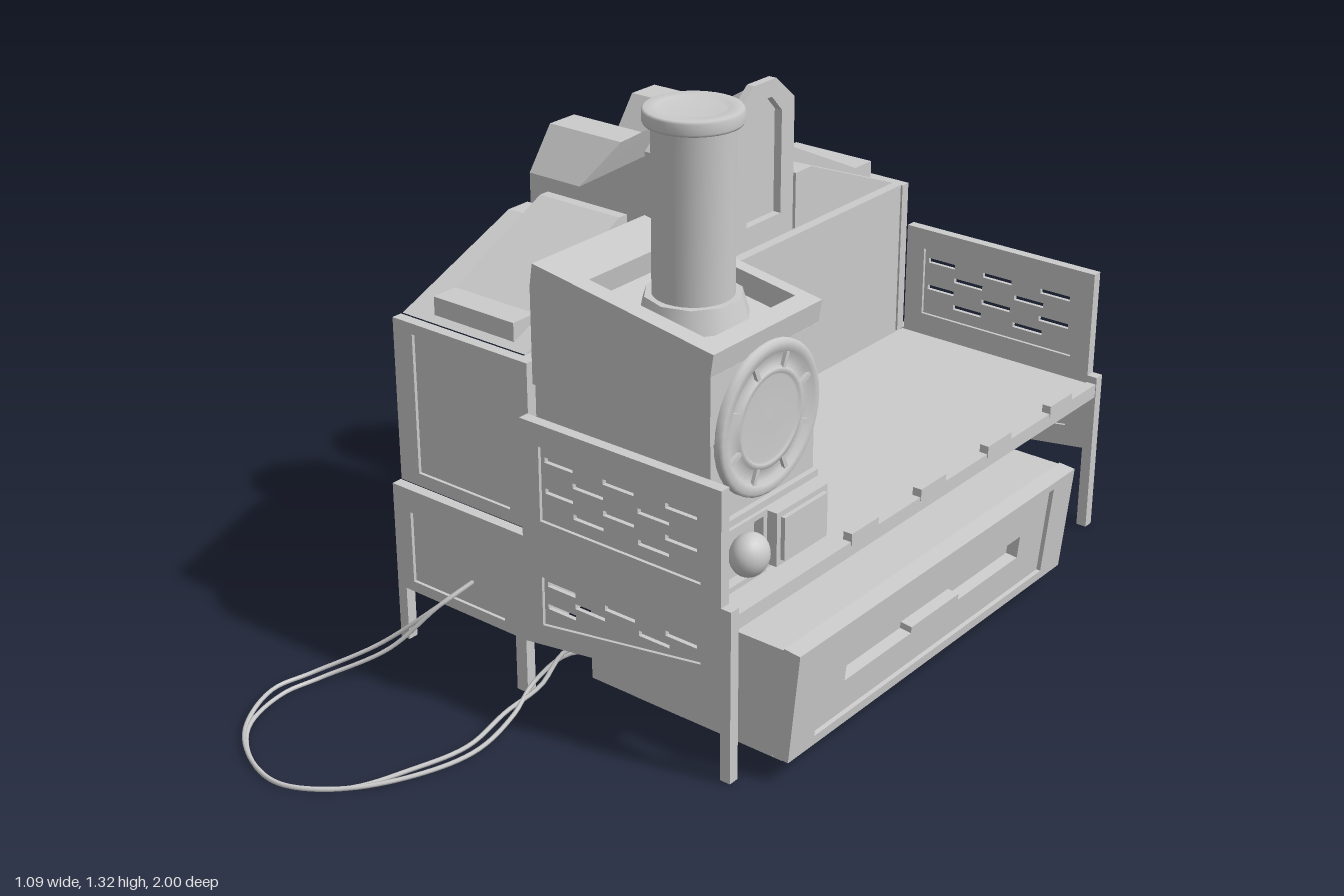
import * as THREE from 'three';

const mat = new THREE.MeshStandardMaterial({ color: 0xcccccc, side: THREE.DoubleSide });
const V = (a) => a.map(([x, y]) => new THREE.Vector2(x, y));
const rect = (x0, y0, x1, y1) => [[x0, y0], [x1, y0], [x1, y1], [x0, y1]];

function add(parent, name, geo, x = 0, y = 0, z = 0) {
  const m = new THREE.Mesh(geo, mat);
  m.name = name;
  m.position.set(x, y, z);
  parent.add(m);
  return m;
}

// Box from its minimum and maximum corners
function box(parent, name, [x0, y0, z0], [x1, y1, z1]) {
  return add(parent, name, new THREE.BoxGeometry(x1 - x0, y1 - y0, z1 - z0),
    (x0 + x1) / 2, (y0 + y1) / 2, (z0 + z1) / 2);
}

// Outline in x,y extruded along +z
function extrude(pts, depth, holes = []) {
  const s = new THREE.Shape(V(pts));
  holes.forEach((h) => s.holes.push(new THREE.Path(V(h))));
  return new THREE.ExtrudeGeometry(s, { depth, bevelEnabled: false });
}

// Outline in z,y extruded from x = 0 towards -x
const extrudeX = (pts, depth, holes) => extrude(pts, depth, holes).rotateY(-Math.PI / 2);

// Framed panel with a sunken, optionally slotted plate
function panel(parent, name, outline, inset, slots, z, depth) {
  add(parent, name + 'Frame', extrude(outline, depth, [inset]), 0, 0, z);
  const holes = slots.map(([x0, x1, y]) => rect(x0, y - 0.006, x1, y + 0.006));
  add(parent, name + 'Plate', extrude(inset, depth * 0.4, holes), 0, 0, z + depth * 0.3);
}

// End board: two narrow panels, two wide slotted panels and three legs
function endBoard(zOuter, zInner) {
  const g = new THREE.Group();
  g.name = 'endBoard';
  const odd = [[-0.055, 0.02], [0.1, 0.18], [0.26, 0.34]], even = [[0.02, 0.1], [0.19, 0.27]];
  const row = (r, y) => r.map(([a, b]) => [a, b, y]);
  panel(g, 'upperNarrow', rect(-0.495, 0.38, -0.115, 0.76), rect(-0.44, 0.41, -0.175, 0.735), [], zInner, 0.025);
  panel(g, 'lowerNarrow', rect(-0.495, 0.13, -0.115, 0.38), rect(-0.445, 0.155, -0.175, 0.325), [], zOuter, 0.025);
  panel(g, 'upperWide', rect(-0.115, 0.38, 0.405, 0.65), rect(-0.065, 0.43, 0.355, 0.6),
    [...row(odd, 0.57), ...row(even, 0.535), ...row(odd, 0.5), ...row(even, 0.465)], zOuter, 0.025);
  panel(g, 'lowerWide', [[-0.115, 0.13], [0.405, 0.205], [0.405, 0.38], [-0.115, 0.38]],
    [[-0.065, 0.185], [0.355, 0.25], [0.355, 0.3], [-0.065, 0.3]],
    [...row(odd, 0.283), ...row(even, 0.257), [-0.055, 0.02, 0.23]], zOuter, 0.025);
  for (const [x0, x1, top] of [[-0.495, -0.47, 0.13], [-0.145, -0.115, 0.13], [0.405, 0.43, 0.395]])
    box(g, 'leg', [x0, 0, zOuter], [x1, top, zOuter + 0.025]);
  return g;
}

// Hooded dormer: arched section whose roof rises towards +x
function dormer(zc) {
  const g = new THREE.Group();
  g.name = 'dormer';
  const ring = (xr, ridge, xs, shoulder, xb) => [[xb, 0.76, 0.11], [xs, shoulder, 0.11], [xr, ridge, 0.04],
    [xr, ridge, -0.04], [xs, shoulder, -0.11], [xb, 0.76, -0.11]].map(([x, y, z]) => [x, y, zc + z]);
  const R = [ring(-0.165, 1.13, -0.165, 1.07, -0.165), ring(-0.29, 1.055, -0.35, 0.96, -0.3),
    ring(-0.495, 1.055, -0.495, 0.96, -0.495)];
  const pos = [];
  for (let s = 0; s < 2; s++) for (let i = 0; i < 6; i++) {
    const j = (i + 1) % 6;
    pos.push(...R[s][i], ...R[s][j], ...R[s + 1][i], ...R[s][j], ...R[s + 1][j], ...R[s + 1][i]);
  }
  for (let i = 1; i < 5; i++) {
    pos.push(...R[2][0], ...R[2][i], ...R[2][i + 1]);
    pos.push(...R[0][0], ...R[0][i + 1], ...R[0][i]);
  }
  const geo = new THREE.BufferGeometry();
  geo.setAttribute('position', new THREE.Float32BufferAttribute(pos, 3));
  geo.computeVertexNormals();
  add(g, 'dormerBody', geo);
  const arch = (w, t, y0, y1, y2) => [[-w, y0], [w, y0], [w, y1], [t, y2], [-t, y2], [-w, y1]];
  add(g, 'dormerFace', extrudeX(arch(0.11, 0.04, 0.76, 1.08, 1.14), 0.02,
    [arch(0.063, 0.025, 0.815, 1.06, 1.1)]), -0.145, 0, zc);
  return g;
}

// Sloped lid with a raised pad; m mirrors z about the middle of the base
function slopedLid(m) {
  const g = new THREE.Group();
  g.name = 'slopedLid';
  const f = (a) => a.map(([z, y]) => [m ? -0.58 - z : z, y]);
  add(g, 'lidWedge', extrudeX(f([[-0.55, 0.76], [-0.55, 0.895], [-0.61, 0.895], [-0.945, 0.76]]), 0.35), -0.145);
  add(g, 'lidPad', extrudeX(f([[-0.565, 0.88], [-0.565, 0.94], [-0.59, 0.94], [-0.86, 0.81], [-0.925, 0.81],
    [-0.925, 0.762], [-0.88, 0.762]]), 0.225), -0.195);
  return g;
}

// Boiler cab with an open-topped well, chimney and round end plate
function cab() {
  const g = new THREE.Group();
  g.name = 'cab';
  box(g, 'cabBase', [-0.095, 0.375, 0.06], [0.355, 0.54, 0.39]);
  box(g, 'cabLower', [-0.092, 0.54, 0.06], [0.357, 0.72, 0.395]);
  add(g, 'cabUpper', extrude([[-0.095, 0.722], [0.36, 0.722], [0.36, 0.865], [-0.095, 0.935]], 0.345), 0, 0, 0.055);
  const rim = add(g, 'cabRim', extrude(rect(0, -0.4, 0.46, -0.055), 0.05, [rect(0.115, -0.36, 0.415, -0.085)])
    .rotateX(-Math.PI / 2), -0.095, 0.935, 0);
  rim.rotation.z = -Math.atan2(0.07, 0.455);
  add(g, 'chimneyFlange', new THREE.CylinderGeometry(0.1, 0.115, 0.05, 10).toNonIndexed(), 0.175, 0.91, 0.22);
  const pipe = [[0.083, 0.85], [0.083, 1.28], [0.098, 1.285], [0.1, 1.29], [0.1, 1.31], [0.096, 1.315],
    [0.07, 1.315], [0.065, 1.308], [0, 1.308]];
  add(g, 'chimney', new THREE.LatheGeometry(V(pipe), 32), 0.175, 0, 0.22);

  // Round plate with two rims and eight dividers
  const plate = new THREE.Group();
  plate.name = 'roundPlate';
  plate.position.set(0.358, 0.72, 0.225);
  plate.rotation.z = -Math.PI / 2;
  g.add(plate);
  const prof = [[0.162, 0], [0.162, 0.012], [0.155, 0.018], [0.138, 0.018], [0.132, 0.008], [0.108, 0.008],
    [0.104, 0.016], [0.094, 0.016], [0.09, 0.01], [0, 0.012]];
  add(plate, 'plateDisc', new THREE.LatheGeometry(V(prof), 40));
  for (let i = 0; i < 8; i++) {
    const a = (i + 0.5) * Math.PI / 4;
    const bar = add(plate, 'plateDivider', new THREE.BoxGeometry(0.034, 0.016, 0.01),
      Math.cos(a) * 0.12, 0.008, Math.sin(a) * 0.12);
    bar.rotation.y = -a;
  }

  // Fittings below the plate
  add(g, 'knobFrame', extrudeX(rect(0.24, 0.39, 0.39, 0.53), 0.025, [rect(0.252, 0.402, 0.378, 0.518)]), 0.378);
  const knob = add(g, 'knob', new THREE.SphereGeometry(0.046, 20, 14), 0.39, 0.462, 0.312);
  knob.scale.x = 0.85;
  box(g, 'sideBox', [0.35, 0.4, 0.06], [0.395, 0.52, 0.23]);
  box(g, 'sideBoxCap', [0.39, 0.412, 0.073], [0.405, 0.508, 0.217]);
  box(g, 'sideBoxLedge', [0.35, 0.53, 0.06], [0.37, 0.545, 0.39]);
  return g;
}

// Drawer with a leaning front, sunken panel and stepped handle slot
function drawer() {
  const g = new THREE.Group();
  g.name = 'drawer';
  add(g, 'drawerBody', extrude([[0.005, 0.05], [0.48, 0.05], [0.505, 0.305], [0.005, 0.305]], 1.04), 0, 0, -0.69);
  const front = new THREE.Group();
  front.name = 'drawerFront';
  front.position.set(0.52, 0.05, -0.17);
  front.rotation.z = -Math.atan2(0.025, 0.255);
  g.add(front);
  const inner = rect(-0.435, 0.022, 0.435, 0.238);
  const slot = [[-0.33, 0.1], [-0.09, 0.1], [-0.09, 0.115], [0.09, 0.115], [0.09, 0.1], [0.33, 0.1],
    [0.33, 0.155], [-0.33, 0.155]];
  add(front, 'drawerFrame', extrudeX(rect(-0.52, 0, 0.52, 0.256), 0.04, [inner]));
  add(front, 'drawerPanel', extrudeX(inner, 0.028, [slot]), -0.01);
  for (const z of [0.25, -0.59]) for (const x of [0.07, 0.33])
    box(g, 'drawerFoot', [x, 0, z - 0.04], [x + 0.13, 0.05, z + 0.04]);
  return g;
}

export function createModel() {
  const g = new THREE.Group();
  g.name = 'playBed';
  g.add(endBoard(0.397, 0.37), endBoard(-1, -0.97));

  // Platform with its pegs, and the long wall
  box(g, 'platform', [-0.12, 0.345, -0.975], [0.41, 0.375, 0.397]);
  box(g, 'platformEdge', [0.405, 0.345, -0.975], [0.428, 0.378, 0.397]);
  for (const z of [-0.815, -0.55, -0.285, -0.03]) box(g, 'peg', [0.408, 0.37, z - 0.048], [0.43, 0.397, z + 0.048]);
  box(g, 'upperWall', [-0.145, 0.375, -0.965], [-0.12, 0.76, 0.39]);
  box(g, 'lowerWall', [-0.14, 0.13, -0.975], [-0.118, 0.355, 0.397]);

  g.add(slopedLid(false), slopedLid(true), dormer(-0.43), dormer(-0.15), cab(), drawer());

  // Pair of looped cords
  for (const k of [0, 1]) {
    const pts = [[-0.27, 0.215, 0.405], [-0.31, 0.17, 0.48], [-0.42 + k * 0.03, 0.07, 0.56], [-0.52 + k * 0.03, 0.012, 0.67],
      [-0.54 + k * 0.03, 0.008, 0.76], [-0.47, 0.008, 0.9 - k * 0.01], [-0.36, 0.008, 0.975], [-0.26, 0.008, 0.99],
      [-0.15, 0.008, 0.92], [-0.07 - k * 0.025, 0.008, 0.79], [-0.04 - k * 0.025, 0.008, 0.66],
      [-0.065 - k * 0.02, 0.015, 0.52], [-0.09 + k * 0.02, 0.04, 0.43], [-0.06, 0.085 + k * 0.01, 0.36], [0.01, 0.1 + k * 0.01, 0.31]];
    const curve = new THREE.CatmullRomCurve3(pts.map((p) => new THREE.Vector3(...p)));
    add(g, 'cord', new THREE.TubeGeometry(curve, 90, 0.005, 6));
  }
  return g;
}
